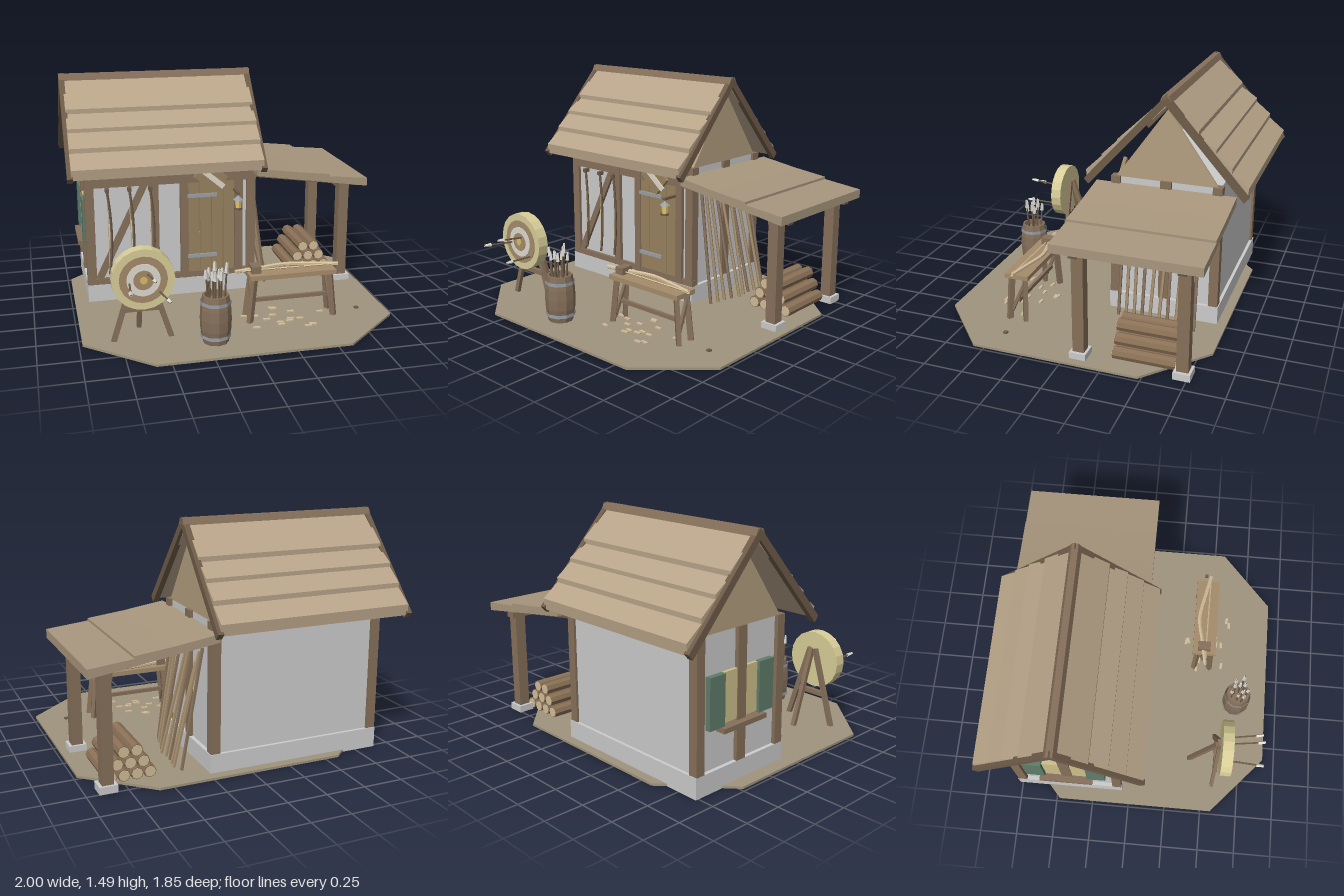
import * as THREE from 'three';

const WOOD = 0x86705a, DARK = 0x6f5c49, ROOF = 0xb8a489, DOOR = 0x98825f, PALE = 0xd2bd98,
  GREY = 0xcccccc, IRON = 0x9aa0a8, STRAW = 0xd8cd98, GROUND = 0x9f947d, GREEN = 0x5f7d6a;
const RIDGE = -0.41;

const mats = {};
const mat = (c) => (mats[c] ??= new THREE.MeshStandardMaterial({ color: c, flatShading: true, side: THREE.DoubleSide }));
const V = (p) => new THREE.Vector3(...p);

function add(parent, name, color, geo, pos = [0, 0, 0]) {
  const m = new THREE.Mesh(geo, mat(color));
  m.name = name;
  m.position.set(...pos);
  parent.add(m);
  return m;
}
// box given by its min / max corner
function box(parent, name, color, [x0, x1], [y0, y1], [z0, z1]) {
  return add(parent, name, color, new THREE.BoxGeometry(x1 - x0, y1 - y0, z1 - z0),
    [(x0 + x1) / 2, (y0 + y1) / 2, (z0 + z1) / 2]);
}
function between(m, a, b) {
  m.position.copy(V(a)).add(V(b)).multiplyScalar(0.5);
  m.quaternion.setFromUnitVectors(new THREE.Vector3(0, 1, 0), V(b).sub(V(a)).normalize());
  return m;
}
const len = (a, b) => V(a).distanceTo(V(b));
const beam = (g, name, color, a, b, w, d = w) =>
  between(add(g, name, color, new THREE.BoxGeometry(w, len(a, b), d)), a, b);
const pole = (g, name, color, a, b, r, n = 6, r2 = r) =>
  between(add(g, name, color, new THREE.CylinderGeometry(r2, r, len(a, b), n)), a, b);
const extrude = (pts, depth) => new THREE.ExtrudeGeometry(
  new THREE.Shape(pts.map((p) => new THREE.Vector2(...p))), { depth, bevelEnabled: false });
// profile of (z, y) points swept along x
function prismX(g, name, color, pts, x0, x1) {
  return add(g, name, color, extrude(pts, x1 - x0).rotateY(-Math.PI / 2), [x1, 0, 0]);
}
function group(parent, name) {
  const g = new THREE.Group();
  g.name = name;
  parent.add(g);
  return g;
}
let seed = 7;
const rnd = () => ((seed = (seed * 16807) % 2147483647) / 2147483647);

function buildHut(root) {
  const g = group(root, 'hut');
  box(g, 'foundation', GREY, [-0.89, 0.25], [0, 0.13], [-0.77, -0.05]);
  box(g, 'plasterWalls', GREY, [-0.865, 0.225], [0.13, 0.925], [-0.75, -0.075]);
  // corner and intermediate posts
  for (const x of [-0.86, 0.215]) for (const z of [-0.735, -0.085])
    box(g, 'cornerPost', WOOD, [x - 0.03, x + 0.03], [0.13, 0.93], [z - 0.03, z + 0.03]);
  for (const x of [-0.437, -0.24, 0.13])
    box(g, 'frontPost', WOOD, [x - 0.027, x + 0.027], [0.13, 0.9], [-0.09, -0.05]);
  for (const x of [-0.87, 0.225])
    box(g, 'sidePost', WOOD, [x - 0.02, x + 0.02], [0.13, 0.93], [-0.445, -0.375]);
  box(g, 'sill', WOOD, [-0.89, 0.25], [0.13, 0.17], [-0.09, -0.052]);
  box(g, 'wallPlate', WOOD, [-0.89, 0.25], [0.79, 0.87], [-0.09, -0.055]);
  beam(g, 'brace', WOOD, [-0.81, 0.17, -0.07], [-0.47, 0.86, -0.07], 0.045, 0.03);
  // gable ends
  for (const x of [-0.865, 0.215])
    prismX(g, 'gable', 0xb39f7f, [[RIDGE + 0.325, 0.925], [RIDGE, 1.385], [RIDGE - 0.325, 0.925]], x - 0.01, x + 0.01);

  // plank door with hinges
  for (let i = 0; i < 4; i++)
    box(g, 'doorPlank', DOOR, [-0.212 + i * 0.079, -0.137 + i * 0.079], [0.17, 0.9], [-0.08, -0.056]);
  for (const y of [0.28, 0.7]) box(g, 'hinge', IRON, [-0.22, -0.02], [y - 0.012, y + 0.012], [-0.06, -0.045]);
  const sign = group(g, 'doorSign');
  sign.position.set(-0.065, 0.83, -0.035);
  sign.rotation.z = -0.7;
  box(sign, 'signBoard', DOOR, [-0.09, 0.09], [-0.07, 0.07], [-0.012, 0.012]);
  box(sign, 'signStrip', 0xded8c8, [-0.11, 0.11], [-0.018, 0.018], [0.01, 0.02]);

  // window with shutters on the left wall
  box(g, 'windowPane', 0xcfc08a, [-0.885, -0.86], [0.39, 0.69], [-0.55, -0.28]);
  box(g, 'windowSill', WOOD, [-0.93, -0.86], [0.35, 0.38], [-0.59, -0.24]);
  for (const z of [-0.615, -0.215]) box(g, 'shutter', GREEN, [-0.9, -0.86], [0.38, 0.69], [z - 0.06, z + 0.06]);

  // bows hanging on the front wall
  for (const x of [-0.745, -0.6, -0.465]) {
    const curve = new THREE.QuadraticBezierCurve3(V([x, 0.2, -0.045]), V([x + 0.04, 0.45, -0.04]), V([x, 0.76, -0.045]));
    add(g, 'wallBow', DARK, new THREE.TubeGeometry(curve, 8, 0.009, 5));
    pole(g, 'bowString', PALE, [x, 0.2, -0.045], [x, 0.76, -0.045], 0.003, 4);
    box(g, 'peg', DARK, [x - 0.012, x + 0.012], [0.76, 0.785], [-0.07, -0.03]);
  }

  // lantern
  box(g, 'lanternArm', DARK, [0.09, 0.11], [0.72, 0.735], [-0.06, 0.06]);
  add(g, 'lanternCap', IRON, new THREE.ConeGeometry(0.036, 0.03, 6), [0.1, 0.7, 0.05]);
  add(g, 'lanternGlass', 0xe2c56c, new THREE.CylinderGeometry(0.022, 0.019, 0.06, 6), [0.1, 0.656, 0.05]);
  add(g, 'lanternBase', DARK, new THREE.CylinderGeometry(0.028, 0.028, 0.012, 6), [0.1, 0.625, 0.05]);
}

function buildRoof(root) {
  const g = group(root, 'roof');
  const steps = [[0, 1.465], [0.2, 1.28], [0.2, 1.25], [0.31, 1.175], [0.31, 1.15], [0.41, 1.07],
    [0.41, 1.04], [0.515, 0.957], [0.51, 0.89], [0, 1.41]];
  const barge = [[0, 1.485], [0.523, 0.905], [0.493, 0.87], [0, 1.42]];
  for (const s of [1, -1]) {
    const side = (pts) => pts.map(([d, y]) => [RIDGE + s * d, y]);
    prismX(g, 'shingles', ROOF, side(steps), -0.975, 0.26);
    for (const x of [-1, 0.245]) prismX(g, 'bargeBoard', DARK, side(barge), x, x + 0.037);
  }
  prismX(g, 'ridgeBeam', WOOD, [[RIDGE - 0.038, 1.44], [RIDGE - 0.02, 1.48], [RIDGE + 0.02, 1.48], [RIDGE + 0.038, 1.44]], -1, 0.282);
}

function buildPorch(root) {
  const g = group(root, 'porch');
  for (const [name, pts] of [
    ['porchRoofUpper', [[0.23, 0.885], [0.5, 0.845], [0.735, 0.818], [0.735, 0.76], [0.23, 0.835]]],
    ['porchRoofLower', [[0.7, 0.806], [1, 0.775], [1, 0.72], [0.7, 0.765]]]])
    add(g, name, 0xa8967d, extrude(pts, 0.895), [0, 0, -0.85]);
  for (const z of [-0.09, -0.725]) {
    box(g, 'porchPost', WOOD, [0.84, 0.91], [0.05, 0.73], [z - 0.036, z + 0.036]);
    box(g, 'postFoot', GREY, [0.82, 0.93], [0.01, 0.055], [z - 0.052, z + 0.052]);
    beam(g, 'rafter', DARK, [0.24, 0.82, z], [0.98, 0.715, z], 0.04, 0.05);
  }
  box(g, 'porchLintel', WOOD, [0.84, 0.91], [0.68, 0.72], [-0.78, -0.05]);

  // stacked logs
  [4, 3, 2].forEach((n, row) => {
    for (let i = 0; i < n; i++) {
      const x = 0.59 + row * 0.04 + i * 0.08, y = 0.052 + row * 0.072;
      pole(g, 'log', 0x8a7056, [x, y, -0.67], [x, y, -0.285], 0.039, 8);
      pole(g, 'logEnds', PALE, [x, y, -0.673], [x, y, -0.282], 0.033, 8);
    }
  });
  // poles leaning on the wall
  for (let i = 0; i < 10; i++) {
    const z = -0.14 - i * 0.057;
    pole(g, 'leaningPole', i % 3 ? 0xa38c6c : WOOD, [0.34 + rnd() * 0.08, 0.015, z],
      [0.245, 0.62 + rnd() * 0.14, z + (rnd() - 0.5) * 0.04], 0.011, 5);
  }
}

function arrow(g, tip, tail) {
  pole(g, 'arrowShaft', DARK, tip, tail, 0.006, 5);
  const start = V(tip).lerp(V(tail), 0.8).toArray();
  pole(g, 'arrowFletching', 0xdcdcd4, start, tail, 0.014, 4, 0.008);
}

function buildTarget(root) {
  const g = group(root, 'archeryTarget');
  [[0.187, STRAW], [0.143, 0xa48b6b], [0.1, 0xdedad0], [0.06, 0xa48b6b], [0.022, 0xd9bd62]].forEach(([r, c], i) =>
    pole(g, 'targetRing', c, [-0.62, 0.43, 0.592 + i * 0.002], [-0.62, 0.43, 0.665 + i * 0.004], r, 20));
  for (const s of [-1, 1]) beam(g, 'standLeg', WOOD, [-0.62 + s * 0.02, 0.51, 0.575], [-0.62 + s * 0.175, 0.012, 0.57], 0.032, 0.024);
  beam(g, 'rearLeg', WOOD, [-0.62, 0.51, 0.565], [-0.62, 0.012, 0.4], 0.028);
  box(g, 'standBar', WOOD, [-0.74, -0.5], [0.2, 0.23], [0.56, 0.59]);
  arrow(g, [-0.7, 0.41, 0.64], [-0.72, 0.43, 0.88]);
  arrow(g, [-0.6, 0.46, 0.64], [-0.575, 0.495, 0.88]);
  arrow(g, [-0.53, 0.345, 0.64], [-0.495, 0.365, 0.88]);
}

function buildBarrel(root) {
  const g = group(root, 'arrowBarrel');
  g.position.set(-0.2, 0, 0.7);
  const profile = [[0, 0.015], [0.078, 0.015], [0.093, 0.1], [0.096, 0.165], [0.093, 0.23], [0.08, 0.315], [0.068, 0.315], [0.068, 0.28], [0, 0.28]];
  add(g, 'barrelStaves', WOOD, new THREE.LatheGeometry(profile.map((p) => new THREE.Vector2(...p)), 10));
  for (const y of [0.06, 0.27])
    add(g, 'barrelHoop', IRON, new THREE.CylinderGeometry(0.092, 0.092, 0.022, 10, 1, true), [0, y, 0]);
  for (let i = 0; i < 10; i++) {
    const a = i * 2.4, r = 0.016 * Math.sqrt(i + 1);
    arrow(g, [r * Math.cos(a), 0.2, r * Math.sin(a)], [r * 1.4 * Math.cos(a), 0.44 + rnd() * 0.08, r * 1.4 * Math.sin(a)]);
  }
}

function buildBench(root) {
  const g = group(root, 'workBench');
  box(g, 'benchTop', 0xa58c6c, [0.06, 0.62], [0.3, 0.33], [0.365, 0.525]);
  for (const s of [-1, 1]) {
    for (const t of [-1, 1]) beam(g, 'benchLeg', WOOD, [0.34 + s * 0.245, 0.3, 0.445 + t * 0.045], [0.34 + s * 0.275, 0.012, 0.445 + t * 0.055], 0.035, 0.028);
    beam(g, 'benchBrace', WOOD, [0.34 + s * 0.26, 0.05, 0.495], [0.34 + s * 0.25, 0.27, 0.4], 0.02);
  }
  box(g, 'benchRail', WOOD, [0.08, 0.6], [0.13, 0.155], [0.435, 0.455]);
  box(g, 'viseBlock', WOOD, [0.08, 0.14], [0.33, 0.375], [0.4, 0.485]);
  // unfinished bow lying on the bench
  const path = new THREE.CatmullRomCurve3([[-0.02, 0.345, 0.455], [0.15, 0.345, 0.425], [0.32, 0.345, 0.395], [0.49, 0.345, 0.425], [0.65, 0.345, 0.46]].map(V));
  add(g, 'bowStave', PALE, new THREE.TubeGeometry(path, 14, 0.013, 6));
  pole(g, 'bowStaveString', PALE, [-0.02, 0.345, 0.455], [0.65, 0.345, 0.46], 0.005, 4);
  // wood chips
  for (let i = 0; i < 16; i++) {
    const m = add(g, 'woodChip', PALE, new THREE.BoxGeometry(0.045, 0.008, 0.018), [0.02 + rnd() * 0.58, 0.019, 0.26 + rnd() * 0.4]);
    m.rotation.y = (rnd() - 0.5) * 0.3;
  }
  box(g, 'groundPeg', DARK, [0.785, 0.81], [0.01, 0.025], [0.43, 0.455]);
}

export function createModel() {
  const root = new THREE.Group();
  root.name = 'archeryHut';
  const outline = [[0.59, 0.92], [0.98, 0.57], [0.98, -0.48], [0.59, -0.83], [-0.59, -0.83], [-0.98, -0.48], [-0.98, 0.57], [-0.59, 0.92]];
  add(root, 'ground', GROUND, extrude(outline, 0.015).rotateX(Math.PI / 2), [0, 0.015, 0]);
  buildHut(root);
  buildRoof(root);
  buildPorch(root);
  buildTarget(root);
  buildBarrel(root);
  buildBench(root);
  return root;
}
